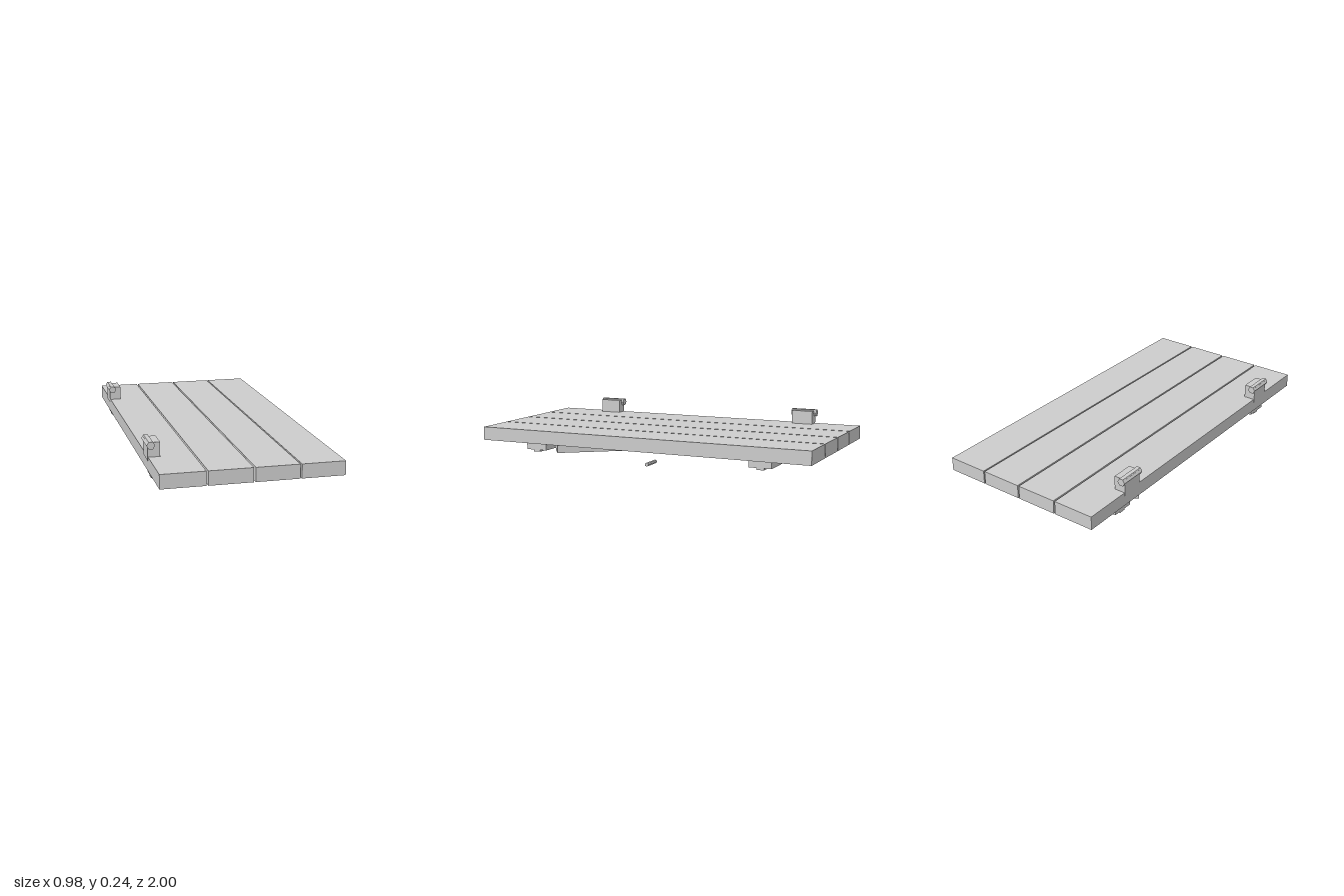
import * as THREE from 'three';

export function createModel() {
  const door = new THREE.Group();
  door.name = 'plankDoor';
  const grey = new THREE.MeshStandardMaterial({ color: 0xcccccc });
  grey.name = 'plainGrey';

  const add = (name, geometry, parent = door) => {
    const mesh = new THREE.Mesh(geometry, grey);
    mesh.name = name;
    parent.add(mesh);
    return mesh;
  };
  // Box given by its limits on each axis
  const box = (name, [x0, x1], [y0, y1], [z0, z1], parent) => {
    const mesh = add(name, new THREE.BoxGeometry(x1 - x0, y1 - y0, z1 - z0), parent);
    mesh.position.set((x0 + x1) / 2, (y0 + y1) / 2, (z0 + z1) / 2);
    return mesh;
  };

  // Four long planks with narrow gaps
  [[-0.48, -0.243], [-0.234, 0.001], [0.01, 0.245], [0.253, 0.488]].forEach((x, i) =>
    box('plank' + (i + 1), x, [0.08, 0.157], [-1, 1]));

  // Cross battens, each with a raised centre strip, let into the planks
  [['front', 0.647], ['back', -0.717]].forEach(([side, z]) => {
    const batten = new THREE.Group();
    batten.name = side + 'Batten';
    door.add(batten);
    box('battenBoard', [-0.462, 0.473], [0.043, 0.094], [z - 0.064, z + 0.064], batten);
    box('battenStrip', [-0.459, 0.469], [0.032, 0.043], [z - 0.02, z + 0.02], batten);
  });

  // Diagonal brace between the battens
  const brace = add('diagonalBrace', new THREE.BoxGeometry(0.108, 0.06, 1.416));
  brace.position.set(0.005, 0.063, -0.028);
  brace.rotation.y = Math.atan2(0.592, 0.806);

  // Hinges: a block on the door edge carrying a six-sided barrel
  [['front', 0.639], ['back', -0.661]].forEach(([side, z]) => {
    const hinge = new THREE.Group();
    hinge.name = side + 'Hinge';
    door.add(hinge);
    box('hingeBlock', [-0.482, -0.416], [0.138, 0.235], [z - 0.063, z + 0.063], hinge);
    const pin = new THREE.CylinderGeometry(0.0225, 0.0225, 0.154, 6).toNonIndexed();
    pin.rotateY(Math.PI / 6).rotateX(Math.PI / 2);
    pin.computeVertexNormals();
    add('hingeBarrel', pin, hinge).position.set(-0.467, 0.221, z);
  });

  // Small handle rod on the underside
  const rod = new THREE.CylinderGeometry(0.011, 0.011, 0.108, 8).toNonIndexed();
  rod.rotateZ(Math.PI / 2);
  rod.computeVertexNormals();
  add('handleRod', rod).position.set(0.421, 0.011, -0.06);

  // Hexagon corners point sideways along x
  door.traverse((part) => {
    if (part.name === 'hingeBarrel') part.rotation.z = 0;
  });
  return door;
}
